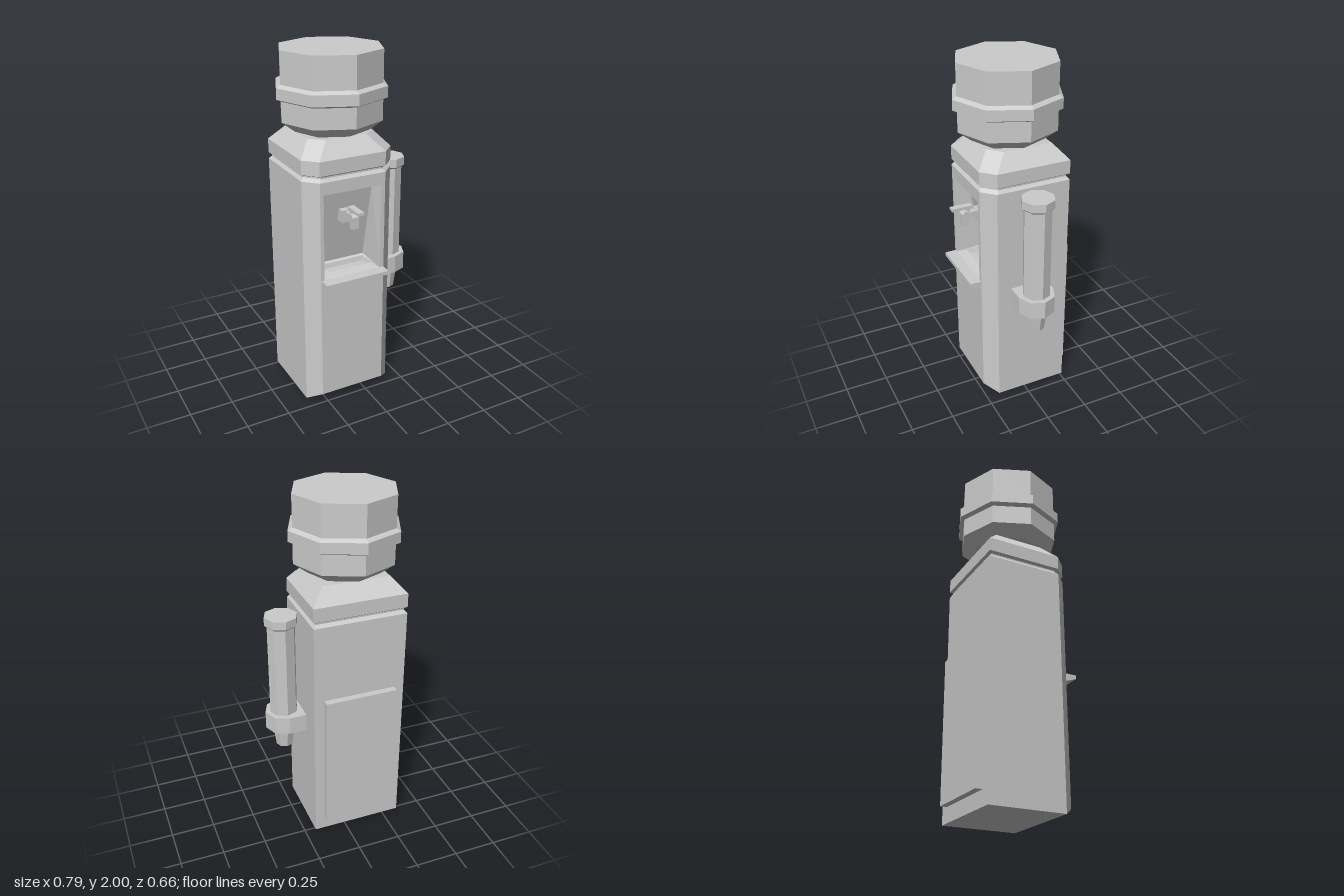
import * as THREE from 'three';

const CX = -0.0825; // centre line of the cabinet
const CUP_X = 0.285, CUP_Z = -0.02;
const material = new THREE.MeshStandardMaterial({ color: 0xcccccc, flatShading: true });

function add(group, name, geometry, x = 0, y = 0, z = 0) {
  const mesh = new THREE.Mesh(geometry, material);
  mesh.name = name;
  mesh.position.set(x, y, z);
  group.add(mesh);
  return mesh;
}

// Skins a list of equal-length rings of [x, y, z] points with flat faces.
function loft(rings, { start = false, end = false, skip = () => false } = {}) {
  const pos = [];
  const tri = (a, b, c) => pos.push(...a, ...b, ...c);
  const n = rings[0].length;
  for (let k = 0; k < rings.length - 1; k++) {
    const a = rings[k], b = rings[k + 1];
    for (let i = 0; i < n; i++) {
      if (skip(k, i)) continue;
      const j = (i + 1) % n;
      tri(a[i], a[j], b[j]);
      tri(a[i], b[j], b[i]);
    }
  }
  const first = rings[0], last = rings[rings.length - 1];
  for (let i = 1; i < n - 1; i++) {
    if (start) tri(first[0], first[i + 1], first[i]);
    if (end) tri(last[0], last[i], last[i + 1]);
  }
  const geometry = new THREE.BufferGeometry();
  geometry.setAttribute('position', new THREE.Float32BufferAttribute(pos, 3));
  geometry.computeVertexNormals();
  return geometry;
}

// Cabinet outline with chamfered front corners
function cabinetRing(y, inset) {
  const h = 0.2675 - inset, f = 0.24 - inset, b = -0.265 + inset, c = 0.072;
  return [[CX - h + c, f], [CX + h - c, f], [CX + h, f - c], [CX + h, b], [CX - h, b], [CX - h, f - c]]
    .map(([x, z]) => [x, y, z]);
}

const rectXZ = (x0, x1, z0, z1, y) => [[x0, y, z1], [x1, y, z1], [x1, y, z0], [x0, y, z0]];
const rectXY = (x0, x1, y0, y1, z0, z1) => [[x0, y0, z0], [x1, y0, z0], [x1, y1, z1], [x0, y1, z1]];

// Eight-sided turned part
const turned = (points) => new THREE.LatheGeometry(points.map(([r, y]) => new THREE.Vector2(r, y)), 8);

function makeCabinet() {
  const g = new THREE.Group();
  g.name = 'cabinet';
  // Foot ring: front edge cut back to the chamfer line
  const foot = cabinetRing(0, 0);
  foot[0] = foot[5];
  foot[1] = foot[2];
  const rings = [foot, ...[[0.047, 0], [1.355, 0], [1.372, 0.015], [1.381, 0.015],
    [1.391, 0], [1.47, 0], [1.555, 0.075]].map(([y, inset]) => cabinetRing(y, inset))];
  add(g, 'cabinetShell', loft(rings, { start: true, end: true, skip: (k, i) => k === 1 && i === 0 }));

  // Front face with the niche opening
  const h = 0.2675 - 0.072;
  const outline = (x0, x1, y0, y1) => [[x0, y0], [x1, y0], [x1, y1], [x0, y1]].map((p) => new THREE.Vector2(...p));
  const face = new THREE.Shape(outline(CX - h, CX + h, 0.047, 1.355));
  face.holes.push(new THREE.Path(outline(-0.257, 0.087, 0.79, 1.285)));
  add(g, 'frontPanel', new THREE.ShapeGeometry(face), 0, 0, 0.24);

  // Niche walls and sloping back
  add(g, 'niche', loft([
    rectXY(-0.257, 0.087, 0.79, 1.285, 0.24, 0.24),
    rectXY(-0.242, 0.072, 0.81, 1.262, 0.07, 0.165),
  ], { end: true, skip: (k, i) => i === 0 }));

  // Niche floor with sunken drip basin
  const floor = [[-0.257, 0.79, 0.24], [0.087, 0.79, 0.24], [0.072, 0.81, 0.07], [-0.242, 0.81, 0.07]];
  add(g, 'dripBasin', loft([floor, rectXZ(-0.235, 0.065, 0.085, 0.185, 0.802),
    rectXZ(-0.225, 0.055, 0.092, 0.178, 0.775)], { end: true }));

  // Shelf lip with sloping underside
  const lip = (x) => [[x, 0.745, 0.24], [x, 0.768, 0.305], [x, 0.79, 0.305], [x, 0.79, 0.24]];
  add(g, 'shelfLip', loft([lip(0.11), lip(-0.275)], { start: true, end: true }));

  add(g, 'backPanel', new THREE.BoxGeometry(0.42, 0.82, 0.045), CX, 0.495, -0.281);
  return g;
}

function makeTap() {
  const g = new THREE.Group();
  g.name = 'tap';
  g.position.x = CX;
  add(g, 'tapMount', new THREE.BoxGeometry(0.072, 0.07, 0.075), 0, 1.115, 0.145);
  add(g, 'tapArm', new THREE.BoxGeometry(0.034, 0.035, 0.09), 0, 1.128, 0.205);
  // Spout with a sloped front top edge
  const spout = (x) => [[x, 1.07, 0.235], [x, 1.07, 0.27], [x, 1.138, 0.27], [x, 1.153, 0.255], [x, 1.153, 0.235]];
  add(g, 'spout', loft([spout(0.02), spout(-0.02)], { start: true, end: true }));
  add(g, 'leverStem', new THREE.BoxGeometry(0.022, 0.035, 0.022), 0, 1.156, 0.232);
  add(g, 'lever', new THREE.BoxGeometry(0.038, 0.016, 0.12), 0, 1.178, 0.27);
  return g;
}

function makeCupDispenser() {
  const g = new THREE.Group();
  g.name = 'cupDispenser';
  g.position.set(CUP_X, 0, CUP_Z);
  add(g, 'cupTube', turned([[0.08, 0.74], [0.08, 1.285], [0.094, 1.297], [0.094, 1.345], [0, 1.345]]));
  add(g, 'cup', turned([[0, 0.512], [0.05, 0.512], [0.068, 0.645]]));
  // Collar: half octagon joined squarely to the cabinet side
  const r = 0.109, d = r * Math.SQRT1_2;
  const collar = (y) => [[-0.101, r], [0, r], [d, d], [r, 0], [d, -d], [0, -r], [-0.101, -r]].map(([x, z]) => [x, y, z]);
  add(g, 'collar', loft([collar(0.64), collar(0.745)], { start: true, end: true }));
  return g;
}

export function createModel() {
  const model = new THREE.Group();
  model.name = 'waterCooler';
  model.add(makeCabinet(), makeTap(), makeCupDispenser());
  // Water bottle with raised band
  add(model, 'bottle', turned([[0, 1.567], [0.213, 1.567], [0.288, 1.625], [0.288, 1.738], [0.313, 1.75],
    [0.313, 1.81], [0.288, 1.825], [0.288, 2], [0, 2]]), CX, 0, -0.015);
  return model;
}
